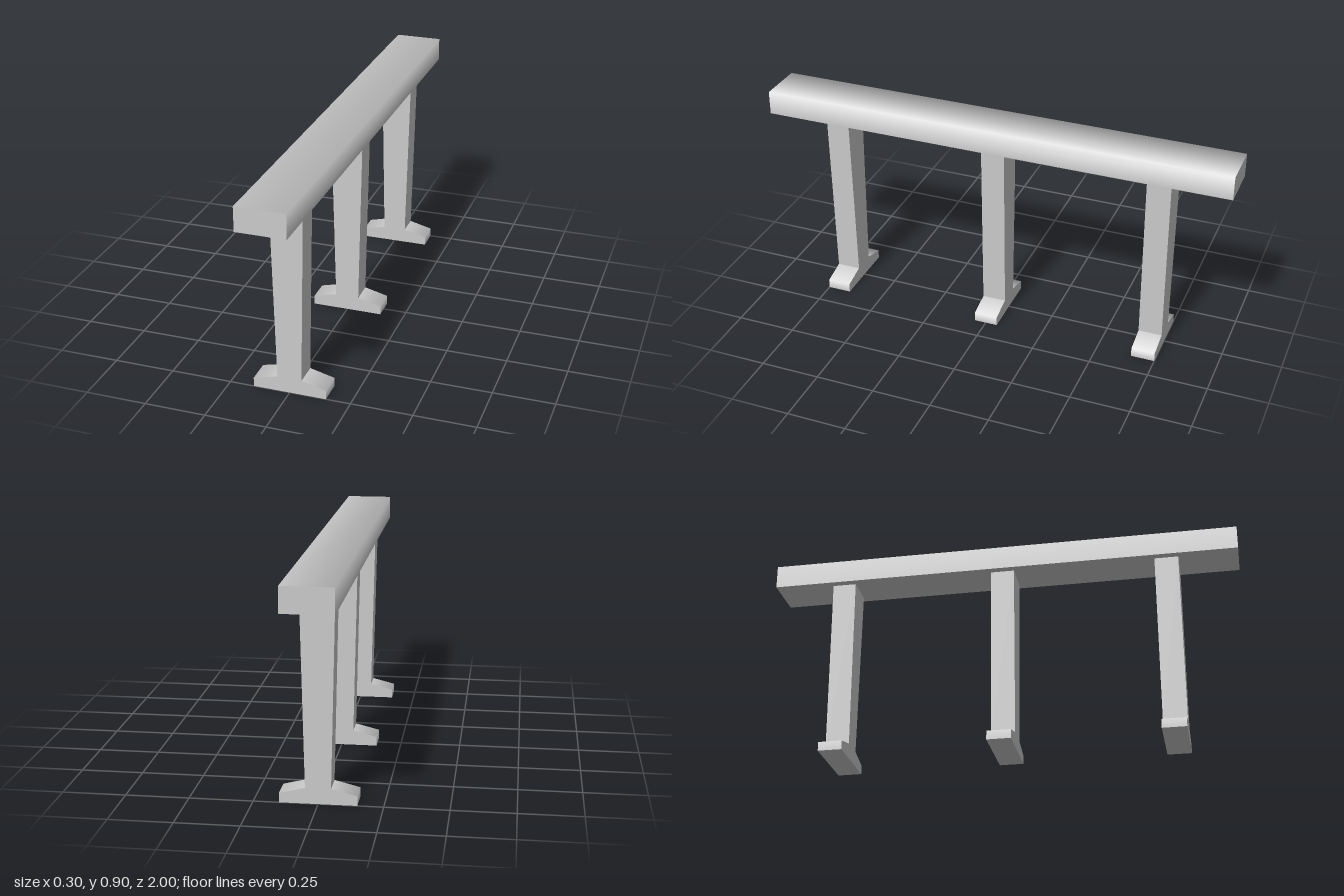
import * as THREE from 'three';

const material = new THREE.MeshStandardMaterial({ color: 0xcccccc });

// Rounds the shading along the long edges at (±x, y); end faces stay flat
function softenEdge(geometry, x, y, nx, ny) {
  const p = geometry.attributes.position, n = geometry.attributes.normal;
  const length = Math.hypot(nx, ny);
  for (let i = 0; i < p.count; i++) {
    const onEdge = Math.abs(Math.abs(p.getX(i)) - x) < 1e-4 && Math.abs(p.getY(i) - y) < 1e-4;
    if (onEdge && Math.abs(n.getZ(i)) < 0.5) {
      n.setXYZ(i, Math.sign(p.getX(i)) * nx / length, ny / length, 0);
    }
  }
  return geometry;
}

// Tapered post and splayed foot as one mirrored profile
function legGeometry() {
  const half = [[0.15, 0], [0.15, 0.038], [0.05, 0.063], [0.067, 0.8]];
  const outline = [...half, ...half.map(([x, y]) => [-x, y]).reverse()];
  const shape = new THREE.Shape(outline.map(([x, y]) => new THREE.Vector2(x, y)));
  const geometry = new THREE.ExtrudeGeometry(shape, { depth: 0.1, bevelEnabled: false });
  geometry.translate(0, 0, -0.05);
  return softenEdge(geometry, 0.15, 0.038, 1.24, 0.97);
}

export function createModel() {
  const group = new THREE.Group();
  group.name = 'beamOnLegs';

  // Long top beam
  const beamGeometry = new THREE.BoxGeometry(0.2, 0.1, 2);
  const beam = new THREE.Mesh(softenEdge(beamGeometry, 0.1, 0.05, 1, 1), material);
  beam.name = 'beam';
  beam.position.y = 0.85;
  group.add(beam);

  // Three legs along the beam
  const geometry = legGeometry();
  [['frontLeg', 0.7], ['middleLeg', 0], ['backLeg', -0.7]].forEach(([name, z]) => {
    const leg = new THREE.Mesh(geometry, material);
    leg.name = name;
    leg.position.z = z;
    group.add(leg);
  });

  return group;
}
